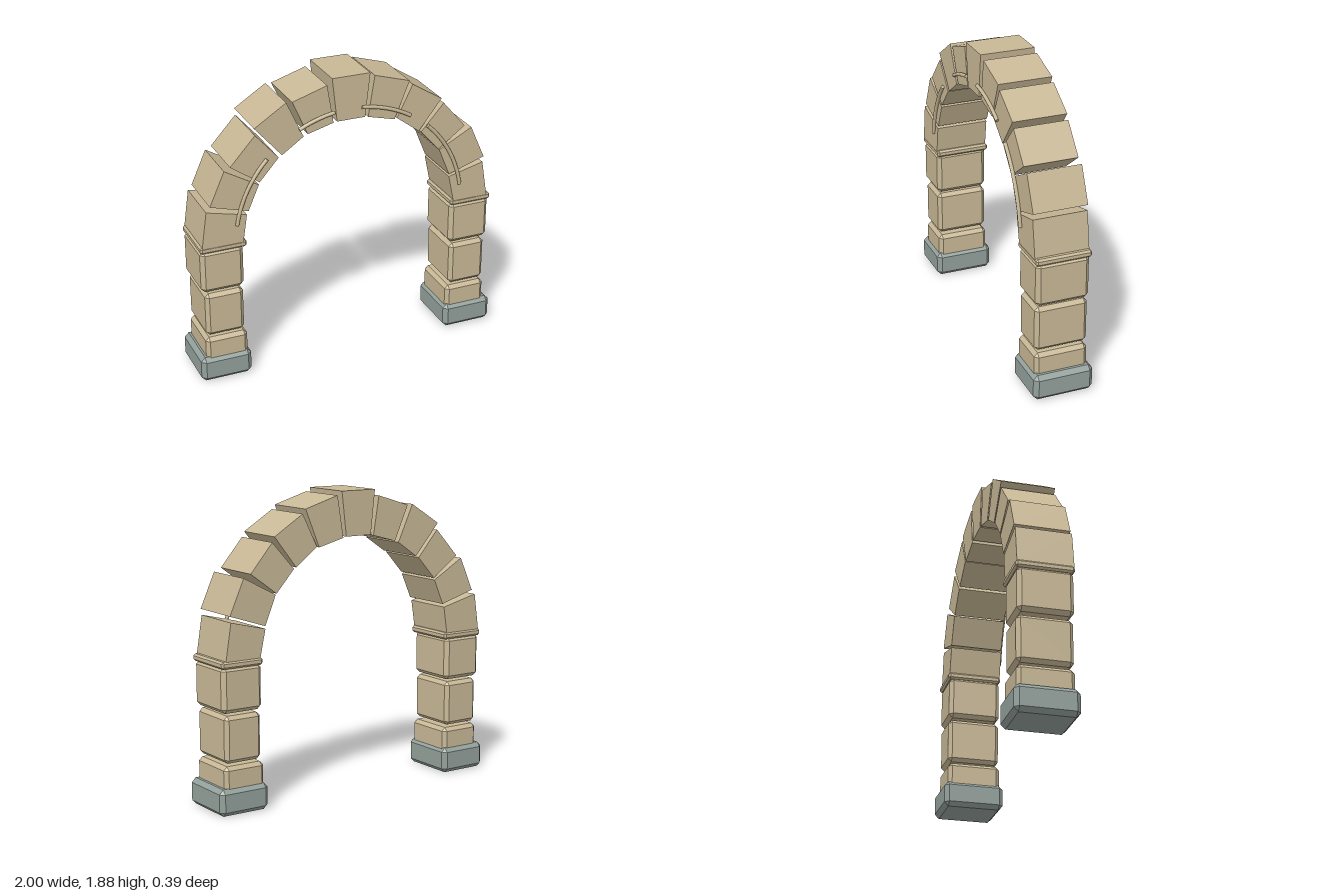
import * as THREE from 'three';
import { ConvexGeometry } from 'three/addons/geometries/ConvexGeometry.js';

const stone = new THREE.MeshStandardMaterial({ color: 0xc8b896 });
stone.name = 'sandstone';
const slate = new THREE.MeshStandardMaterial({ color: 0x93a09b });
slate.name = 'greyStone';

const SPRING = 0.92; // height of the arch centre

// Box between two corners with every edge chamfered by b
function chamferedBox(x0, x1, y0, y1, z0, z1, b) {
  const c = [(x0 + x1) / 2, (y0 + y1) / 2, (z0 + z1) / 2];
  const h = [(x1 - x0) / 2, (y1 - y0) / 2, (z1 - z0) / 2];
  const points = [];
  for (const sx of [-1, 1]) for (const sy of [-1, 1]) for (const sz of [-1, 1]) {
    const s = [sx, sy, sz];
    for (let full = 0; full < 3; full++) {
      points.push(new THREE.Vector3(...s.map((v, i) => c[i] + v * (h[i] - (i === full ? 0 : b)))));
    }
  }
  return new ConvexGeometry(points);
}

// Wedge stone: four corners in the xy plane, extruded along z
function wedge(corners, z0, z1) {
  const shape = new THREE.Shape(corners.map(([x, y]) => new THREE.Vector2(x, y)));
  const geo = new THREE.ExtrudeGeometry(shape, { depth: z1 - z0, bevelEnabled: false });
  return geo.translate(0, 0, z0);
}

export function createModel() {
  const model = new THREE.Group();
  model.name = 'stoneArch';
  const add = (parent, name, geo, mat) => {
    const mesh = new THREE.Mesh(geo, mat);
    mesh.name = name;
    parent.add(mesh);
    return mesh;
  };

  // Pillars: name, right x range, left x range, y range, z range, chamfer
  const courses = [
    ['base', [-1, -0.673], [0.667, 1], [0, 0.165], [-0.194, 0.188], 0.027],
    ['lowerBlock', [-0.96, -0.69], [0.684, 0.956], [0.12, 0.295], [-0.17, 0.168], 0.023],
    ['middleBlock', [-0.953, -0.707], [0.703, 0.949], [0.312, 0.6], [-0.168, 0.166], 0.023],
    ['upperBlock', [-0.973, -0.7], [0.692, 0.965], [0.615, 0.895], [-0.168, 0.168], 0.025],
    ['cap', [-0.975, -0.68], [0.692, 0.972], [0.885, 0.93], [-0.177, 0.174], 0.012],
  ];
  ['right', 'left'].forEach((side, i) => {
    const pillar = new THREE.Group();
    pillar.name = side + 'Pillar';
    for (const [name, rx, lx, y, z, b] of courses) {
      const x = i ? lx : rx;
      add(pillar, name, chamferedBox(...x, ...y, ...z, b), name === 'base' ? slate : stone);
    }
    model.add(pillar);
  });

  // Arch stones from the model's right foot over the keystone to its left foot
  const stones = [
    [[-0.93, 1.16], [-0.964, 0.92], [-0.703, 0.92], [-0.676, 1.098]],
    [[-0.81, 1.405], [-0.905, 1.19], [-0.665, 1.12], [-0.596, 1.28]],
    [[-0.612, 1.6], [-0.772, 1.424], [-0.59, 1.295], [-0.467, 1.434]],
    [[-0.414, 1.773], [-0.617, 1.643], [-0.446, 1.445], [-0.307, 1.541]],
    [[-0.155, 1.84], [-0.377, 1.77], [-0.28, 1.552], [-0.115, 1.597]],
    [[0.12, 1.88], [-0.125, 1.88], [-0.094, 1.603], [0.088, 1.603]],
    [[0.382, 1.787], [0.152, 1.856], [0.11, 1.597], [0.286, 1.552]],
    [[0.601, 1.637], [0.403, 1.76], [0.302, 1.557], [0.451, 1.445]],
    [[0.767, 1.43], [0.617, 1.605], [0.467, 1.437], [0.59, 1.3]],
    [[0.911, 1.194], [0.815, 1.41], [0.596, 1.295], [0.67, 1.114]],
    [[0.943, 0.92], [0.905, 1.157], [0.67, 1.098], [0.708, 0.92]],
  ];
  const arch = new THREE.Group();
  arch.name = 'arch';
  stones.forEach((corners, i) => {
    const key = i === 5;
    add(arch, key ? 'keystone' : 'archStone' + (i + 1), wedge(corners, -0.168, key ? 0.178 : 0.173), stone);
  });
  model.add(arch);

  // Thin curved mouldings on the front, given as angle ranges in degrees
  const mouldings = new THREE.Group();
  mouldings.name = 'frontMouldings';
  const R = 0.752, r = 0.012, zc = 0.181;
  for (const [a0, a1] of [[9, 47.5], [59, 85], [98.5, 116.6], [136.3, 170.6]]) {
    const angles = Array.from({ length: 9 }, (_, i) => THREE.MathUtils.degToRad(a0 + (a1 - a0) * i / 8));
    const curve = new THREE.CatmullRomCurve3(angles.map(
      a => new THREE.Vector3(R * Math.cos(a), SPRING + R * Math.sin(a), zc)));
    add(mouldings, 'moulding', new THREE.TubeGeometry(curve, 14, r, 8), stone);
    // End caps
    for (const t of [0, 1]) {
      const cap = add(mouldings, 'mouldingEnd', new THREE.CircleGeometry(r, 8), stone);
      const p = curve.getPoint(t);
      cap.position.copy(p);
      cap.lookAt(p.clone().addScaledVector(curve.getTangent(t), t ? 1 : -1));
    }
  }
  model.add(mouldings);

  return model;
}
